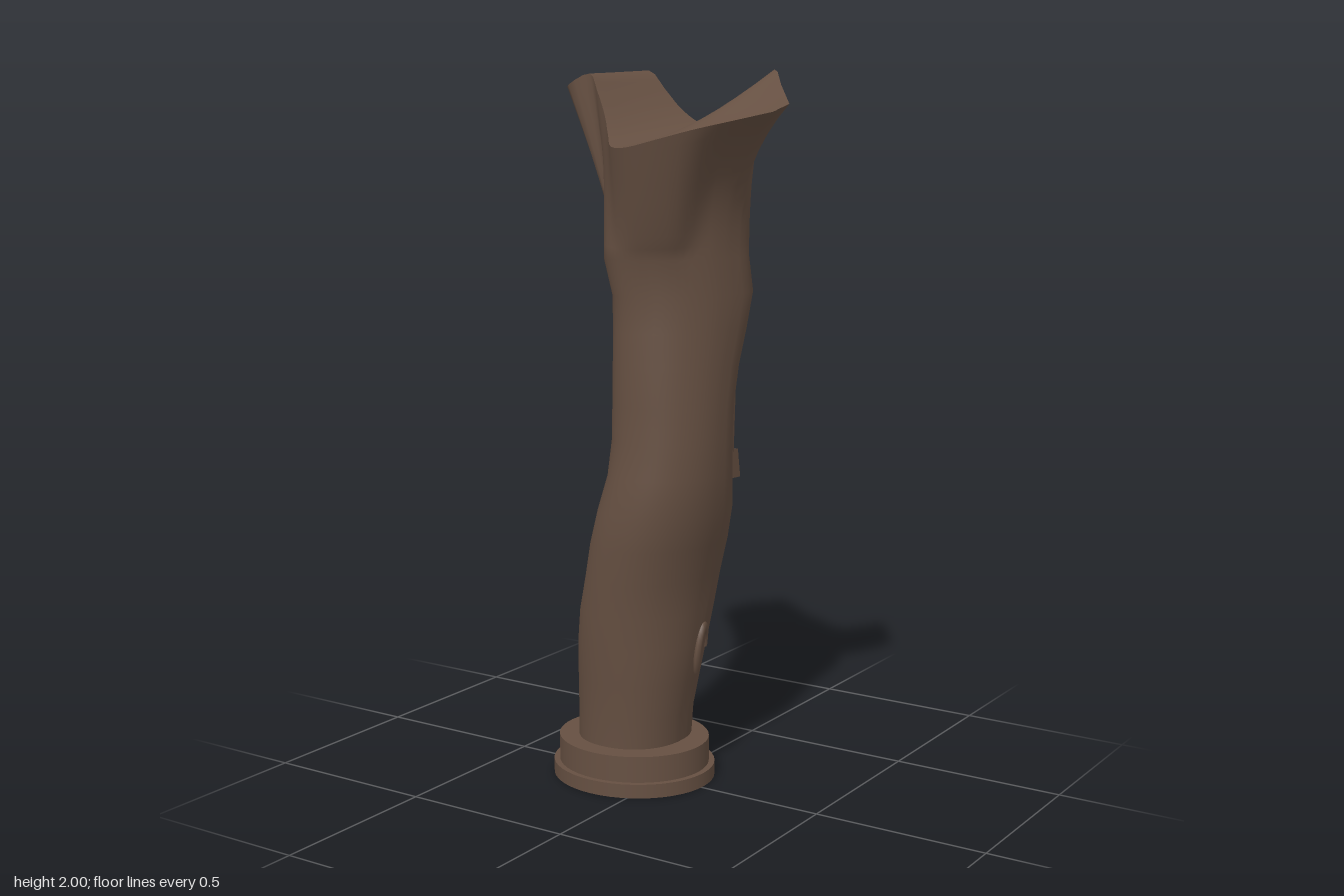
import * as THREE from 'three';
import { toCreasedNormals } from 'three/addons/utils/BufferGeometryUtils.js';

const bark = new THREE.MeshStandardMaterial({ color: 0x665042 });
bark.name = 'brown bark';

// trunk cross-sections: y, xMin, xMax, zMin, zMax, skew of the oval
const SECTIONS = [
  [0.09, -0.27, 0.04, -0.19, 0.135, 0], [0.2, -0.268, 0.05, -0.19, 0.14, 0],
  [0.3, -0.26, 0.07, -0.19, 0.15, 0.05], [0.4, -0.252, 0.086, -0.2, 0.16, 0.1],
  [0.5, -0.238, 0.098, -0.218, 0.168, 0.13], [0.6, -0.212, 0.115, -0.222, 0.175, 0.15],
  [0.7, -0.19, 0.142, -0.218, 0.183, 0.15], [0.8, -0.16, 0.165, -0.203, 0.186, 0.15],
  [0.9, -0.125, 0.175, -0.172, 0.175, 0.18], [1.0, -0.11, 0.18, -0.153, 0.166, 0.22],
  [1.1, -0.105, 0.183, -0.15, 0.165, 0.26], [1.2, -0.1, 0.187, -0.162, 0.165, 0.32],
  [1.3, -0.097, 0.195, -0.185, 0.163, 0.38], [1.4, -0.098, 0.202, -0.205, 0.163, 0.42],
  [1.5, -0.115, 0.196, -0.196, 0.182, 0.4],
];

// front and back edges of the forked top, from -x to +x
const FRONT = [
  [-0.35, 1.945, -0.05], [-0.315, 1.96, 0], [-0.235, 1.99, 0.01], [-0.19, 1.945, 0.04],
  [-0.13, 1.88, 0.09], [-0.07, 1.825, 0.16], [-0.02, 1.8, 0.22], [0.05, 1.8, 0.255],
  [0.13, 1.82, 0.24], [0.21, 1.845, 0.19], [0.29, 1.87, 0.1], [0.34, 1.89, 0],
];
const BACK = [
  [-0.35, 1.945, -0.14], [-0.31, 1.965, -0.215], [-0.22, 2, -0.26], [-0.16, 1.95, -0.25],
  [-0.09, 1.89, -0.235], [0, 1.845, -0.215], [0.07, 1.845, -0.175], [0.13, 1.88, -0.155],
  [0.18, 1.935, -0.165], [0.24, 2, -0.18], [0.29, 1.96, -0.13], [0.35, 1.91, -0.07],
];
const STATIONS = 33;
const edge = (pts) => {
  const curve = new THREE.CatmullRomCurve3(pts.map((p) => new THREE.Vector3(...p)));
  return Array.from({ length: STATIONS + 1 }, (_, i) => {
    const p = curve.getPoint(i / STATIONS);
    p.y = Math.min(p.y, 2);
    return p;
  });
};

// join rows of points into one surface
function loft(rows, closed) {
  const n = rows[0].length, index = [];
  for (let r = 0; r < rows.length - 1; r++) {
    for (let i = 0; i < (closed ? n : n - 1); i++) {
      const j = (i + 1) % n, a = r * n + i, b = r * n + j;
      index.push(a, b, b + n, a, b + n, a + n);
    }
  }
  const g = new THREE.BufferGeometry().setFromPoints(rows.flat());
  g.setIndex(index);
  g.computeVertexNormals();
  return g;
}

// point on a slightly squared oval, stretched towards +x -z and -x +z by the skew
function sectionPoint([y, x0, x1, z0, z1, skew], angle) {
  const round = (v) => Math.sign(v) * Math.abs(v) ** 0.92;
  return new THREE.Vector3(
    (x0 + x1) / 2 + round(Math.cos(angle + skew / 2)) * (x1 - x0) / 2, y,
    (z0 + z1) / 2 + round(Math.sin(angle - skew / 2)) * (z1 - z0) / 2);
}

export function createModel() {
  const group = new THREE.Group();
  const add = (name, geometry, parent = group) => {
    const mesh = new THREE.Mesh(geometry, bark);
    mesh.name = name;
    parent.add(mesh);
    return mesh;
  };

  // stepped round base
  [[0.237, 0.04, 0], [0.22, 0.075, 0.04]].forEach(([r, h, y], i) => {
    const disc = add(i ? 'upperBase' : 'lowerBase', new THREE.CylinderGeometry(r, r, h, 48));
    disc.position.set(-0.107, y + h / 2, -0.01);
    disc.scale.z = 0.93;
  });

  // trunk rings, flaring into the forked rim
  const front = edge(FRONT), back = edge(BACK);
  const rim = [...front, ...[...back].reverse()];
  const angles = rim.map((p) => Math.atan2(p.z + 0.02, p.x));
  const rows = SECTIONS.map((s) => angles.map((a) => sectionPoint(s, a)));
  const neck = rows[rows.length - 1];
  const { lerp, smoothstep } = THREE.MathUtils;
  for (let k = 1; k <= 10; k++) {
    const t = k / 10;
    rows.push(rim.map((p, i) => {
      // side branch flares late, front lip bulges early
      const lip = smoothstep(p.z, 0.1, 0.22);
      const power = lerp(1.15 + 1.5 * smoothstep(p.x, 0.05, 0.3), 0.85, lip);
      const q = neck[i].clone().lerp(p, t ** power);
      q.y = lerp(neck[i].y, p.y, t);
      return q;
    }));
  }
  add('trunk', loft(rows, true));

  // saddle between the two branches
  const sheet = [];
  for (let k = 0; k <= 8; k++) {
    const s = k / 8;
    sheet.push(front.map((f, i) => {
      const p = f.clone().lerp(back[i], s);
      p.y = lerp(f.y, back[i].y, s ** 1.1);
      return p;
    }));
  }
  add('saddle', toCreasedNormals(loft(sheet, false), 0.6));

  // splayed bark splinters over a broken ledge on the back
  const splinters = new THREE.Group();
  splinters.name = 'barkSplinters';
  group.add(splinters);
  [[-0.045, 0.22, -0.14], [0.005, 0.19, -0.158], [0.06, 0.2, -0.167], [0.11, 0.25, -0.168]]
    .forEach(([x, h, z], i) => {
      const strip = add('splinter', new THREE.CylinderGeometry(0.013, 0.021, h, 6), splinters);
      strip.position.set(x, 0.9 + h / 2, z);
      strip.rotation.set(0.05, 0, (0.03 - x) * 1.2);
      const chip = add('ledgeChip', new THREE.BoxGeometry(0.048, 0.08, 0.06), splinters);
      chip.position.set(x * 0.9, 0.89 + (i % 2) * 0.012, z - 0.012);
      chip.rotation.set(-0.1, (0.03 - x) * -2, 0.1 * (i - 1.5));
    });

  // curled knot low on the side, leaning with the trunk
  const knot = add('knot', new THREE.TorusGeometry(0.033, 0.011, 6, 20, Math.PI * 1.3));
  knot.position.set(0.077, 0.38, -0.075);
  knot.rotation.set(0, Math.PI / 2 + 0.3, -0.14, 'ZYX');
  knot.scale.y = 2;

  return group;
}
